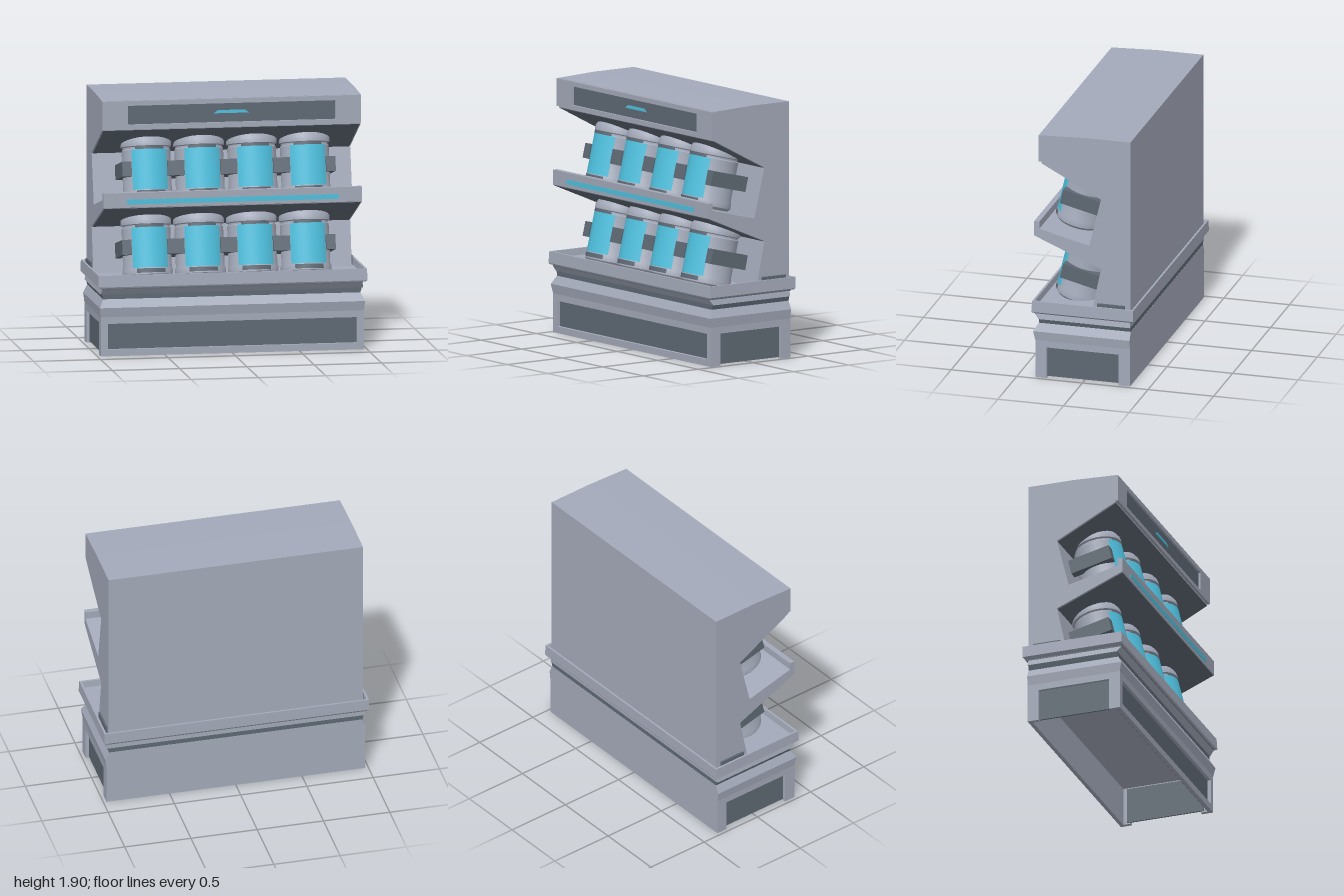
import * as THREE from 'three';
import { toCreasedNormals } from 'three/addons/utils/BufferGeometryUtils.js';

const material = (name, color, extra = {}) => {
  const m = new THREE.MeshStandardMaterial({ color, ...extra });
  m.name = name;
  return m;
};

export function createModel() {
  const model = new THREE.Group();
  model.name = 'displayCabinet';
  const grey = material('paleGrey', 0xa3a9b9);
  const slate = material('slate', 0x5e6873);
  const cyan = material('cyan', 0x4fc0de, { side: THREE.DoubleSide });

  const add = (name, geometry, mat, parent = model) => {
    const mesh = new THREE.Mesh(geometry, mat);
    mesh.name = name;
    parent.add(mesh);
    return mesh;
  };
  const box = (name, mat, w, h, d, x, y, z, parent) => {
    const mesh = add(name, new THREE.BoxGeometry(w, h, d), mat, parent);
    mesh.position.set(x, y, z);
    return mesh;
  };
  const polygon = (pts) => new THREE.Shape(pts.map(([x, y]) => new THREE.Vector2(x, y)));
  const rect = (x0, y0, x1, y1) => polygon([[x0, y0], [x1, y0], [x1, y1], [x0, y1]]);
  const extrude = (shape, depth) => new THREE.ExtrudeGeometry(shape, { depth, bevelEnabled: false });

  // Stack of rectangles [y, half width, front z, back z], capped at both ends
  const loft = (levels) => {
    const rings = levels.map(([y, w, f, b]) => [[w, y, f], [w, y, b], [-w, y, b], [-w, y, f]]);
    const out = [];
    const quad = (a, b, c, d) => out.push(...a, ...b, ...c, ...a, ...c, ...d);
    for (let k = 0; k < rings.length - 1; k++) {
      for (let i = 0; i < 4; i++) {
        const j = (i + 1) % 4;
        quad(rings[k][i], rings[k][j], rings[k + 1][j], rings[k + 1][i]);
      }
    }
    quad(...rings[rings.length - 1]);
    quad(...[...rings[0]].reverse());
    const g = new THREE.BufferGeometry();
    g.setAttribute('position', new THREE.Float32BufferAttribute(out, 3));
    g.computeVertexNormals();
    return g;
  };

  // Hollow plinth: framed front, notched sides, plain back
  const frontFrame = rect(-0.976, 0, 0.976, 0.29);
  frontFrame.holes.push(rect(-0.925, 0.05, 0.925, 0.24));
  add('plinthFront', extrude(frontFrame, 0.03), grey).position.z = 0.336;
  box('plinthFrontPanel', slate, 1.9, 0.28, 0.012, 0, 0.147, 0.335);
  box('plinthBack', grey, 1.952, 0.29, 0.03, 0, 0.145, -0.34);
  for (const s of [1, -1]) {
    const side = polygon([[-0.325, 0], [-0.27, 0], [-0.27, 0.24], [0.28, 0.24], [0.28, 0],
      [0.336, 0], [0.336, 0.29], [-0.325, 0.29]]);
    const g = extrude(side, 0.03);
    g.rotateY(-Math.PI / 2);
    add('plinthSide', g, grey).position.x = s > 0 ? 0.976 : -0.946;
    box('plinthSidePanel', slate, 0.012, 0.27, 0.6, s * 0.945, 0.145, 0.005);
  }

  // Mouldings above the plinth
  add('plinthMoulding', loft([[0.29, 0.976, 0.366, -0.355], [0.36, 0.985, 0.38, -0.355],
    [0.42, 0.955, 0.345, -0.355]]), grey);
  add('mouldingBand', loft([[0.42, 0.955, 0.343, -0.354], [0.455, 0.965, 0.343, -0.354]]), slate);
  add('upperMoulding', loft([[0.455, 0.975, 0.342, -0.355], [0.495, 0.966, 0.374, -0.355]]), grey);
  add('rimGap', loft([[0.495, 0.968, 0.374, -0.365], [0.507, 0.968, 0.374, -0.365]]), slate);

  // Rim tray with a shallow floor
  add('rimTray', loft([[0.505, 0.985, 0.385, -0.378], [0.515, 1, 0.39, -0.385],
    [0.6, 0.997, 0.384, -0.385], [0.6, 0.982, 0.368, -0.37], [0.55, 0.976, 0.364, -0.364]]), grey);
  for (const s of [1, -1]) box('trayBlock', slate, 0.014, 0.07, 0.21, s * 0.967, 0.585, -0.21);

  // Cabinet: side profile (z, y) swept across the width
  const profile = polygon([[-0.355, 0.55], [-0.06, 0.55], [-0.13, 0.885], [0.38, 1.1], [0.38, 1.21],
    [0.34, 1.21], [0.34, 1.155], [-0.04, 1.06], [-0.13, 1.43], [0.325, 1.669], [0.325, 1.886],
    [0, 1.9], [-0.355, 1.9]]);
  const cabinet = extrude(profile, 1.92);
  cabinet.rotateY(-Math.PI / 2);
  add('cabinet', cabinet, grey).position.x = 0.96;

  // Hood fascia with recessed panel and light
  const fascia = rect(-0.96, 1.68, 0.96, 1.885);
  fascia.holes.push(rect(-0.77, 1.71, 0.77, 1.85));
  add('hoodFascia', extrude(fascia, 0.02), grey).position.z = 0.325;
  box('hoodPanel', slate, 1.54, 0.14, 0.006, 0, 1.78, 0.326);
  const light = polygon([[-0.13, 1.775], [0.13, 1.775], [0.1, 1.798], [-0.1, 1.798]]);
  add('hoodLight', extrude(light, 0.004), cyan).position.z = 0.329;
  box('shelfStripe', cyan, 1.57, 0.036, 0.005, 0, 1.142, 0.38);

  // Dark soffits under the hood and the shelf
  const soffit = (name, z0, y0, z1, y1) => {
    const m = box(name, slate, 1.9, 0.008, Math.hypot(z1 - z0, y1 - y0), 0, (y0 + y1) / 2, (z0 + z1) / 2);
    m.rotation.x = -Math.atan2(y1 - y0, z1 - z0);
  };
  soffit('hoodSoffit', -0.13, 1.43, 0.325, 1.669);
  soffit('shelfSoffit', -0.13, 0.885, 0.375, 1.098);

  // Canister geometry shared by both rows
  const body = toCreasedNormals(new THREE.LatheGeometry([[0, 0], [0.168, 0], [0.186, 0.02], [0.186, 0.06],
    [0.179, 0.075], [0.179, 0.365], [0.172, 0.372], [0.172, 0.384], [0.186, 0.39], [0.186, 0.425],
    [0.17, 0.455], [0.15, 0.46], [0, 0.46]].map(([r, y]) => new THREE.Vector2(r, y)), 28), 0.6);
  const arc = (r, y0, y1, half) => {
    const g = new THREE.CylinderGeometry(r, r, y1 - y0, 12, 1, true, -half, half * 2);
    g.translate(0, (y0 + y1) / 2, 0);
    return g;
  };
  const windowArc = arc(0.184, 0.068, 0.365, 0.78);
  const lowerTrim = arc(0.1875, 0.03, 0.062, 0.6);
  const upperTrim = arc(0.185, 0.365, 0.388, 0.6);

  // Two tilted rows of four canisters, with clamps between them
  for (const [rowName, y] of [['upperRow', 1.112], ['lowerRow', 0.532]]) {
    const row = new THREE.Group();
    row.name = rowName;
    row.position.set(0, y, 0.137);
    row.rotation.x = -0.24;
    model.add(row);
    for (const x of [-0.588, -0.196, 0.196, 0.588]) {
      const can = new THREE.Group();
      can.name = 'canister';
      can.position.x = x;
      row.add(can);
      add('canisterBody', body, grey, can);
      add('canisterWindow', windowArc, cyan, can);
      add('canisterLowerTrim', lowerTrim, slate, can);
      add('canisterUpperTrim', upperTrim, slate, can);
    }
    for (const x of [-0.392, 0, 0.392]) box('clamp', slate, 0.125, 0.11, 0.33, x, 0.222, -0.025, row);
    for (const s of [1, -1]) box('endClamp', slate, 0.07, 0.11, 0.33, s * 0.757, 0.222, -0.025, row);
  }
  return model;
}
